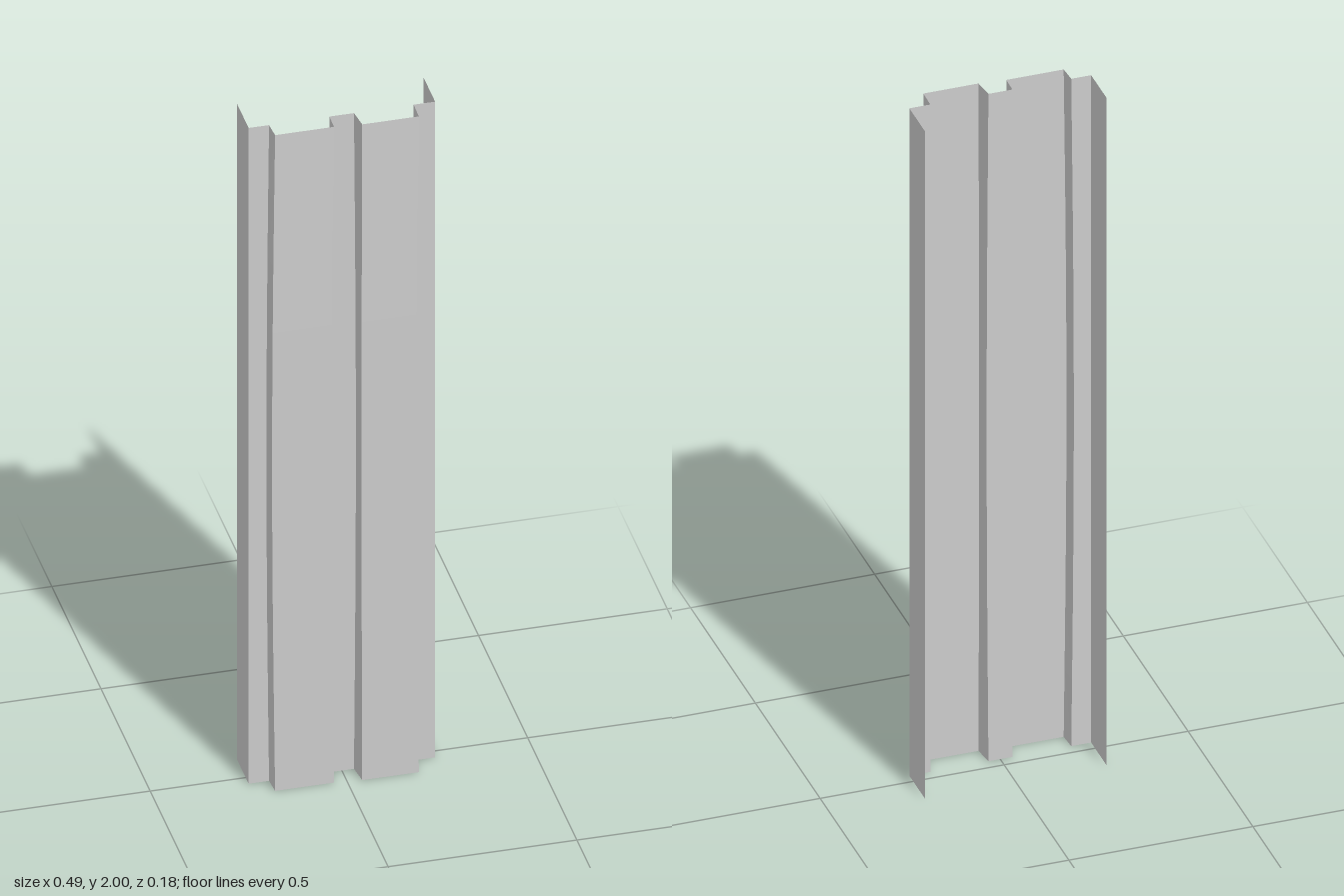
import * as THREE from 'three';

// Folded section from left flange to right flange: [x, z, bow in x, bow in z at mid height]
const section = [
  [-0.247, -0.09, 0, 0],
  [-0.247, 0.03, 0, 0],
  [-0.193, 0.03, -0.007, 0],
  [-0.190, 0.080, -0.009, 0.004],
  [-0.034, 0.080, -0.008, 0.004],
  [-0.033, 0.03, -0.007, 0],
  [0.032, 0.03, 0.005, 0],
  [0.039, 0.087, -0.003, 0.004],
  [0.189, 0.087, -0.008, 0.004],
  [0.190, 0.03, -0.006, 0],
  [0.247, 0.03, 0, 0],
  [0.247, -0.09, 0, 0],
];
const HEIGHT = 2;
const ROWS = 10;

// One flat strip between two neighbouring folds, bowing gently along its height
function strip(a, b) {
  const positions = [];
  const indices = [];
  for (let r = 0; r <= ROWS; r++) {
    const t = r / ROWS;
    const bow = Math.sin(Math.PI * t);
    for (const [x, z, bx, bz] of [a, b]) {
      positions.push(x + bx * bow, t * HEIGHT, z + bz * bow);
    }
    if (r < ROWS) {
      const i = r * 2;
      indices.push(i, i + 1, i + 3, i, i + 3, i + 2);
    }
  }
  const geometry = new THREE.BufferGeometry();
  geometry.setAttribute('position', new THREE.Float32BufferAttribute(positions, 3));
  geometry.setIndex(indices);
  geometry.computeVertexNormals();
  return geometry;
}

export function createModel() {
  const group = new THREE.Group();
  group.name = 'corrugatedPanel';
  const material = new THREE.MeshStandardMaterial({
    color: 0xcccccc, flatShading: true, side: THREE.DoubleSide,
  });
  const names = [
    'rightFlange', 'rightLedge', 'rightRibOuterWall', 'rightRibFace', 'rightRibInnerWall',
    'centreValley', 'leftRibInnerWall', 'leftRibFace', 'leftRibOuterWall', 'leftLedge', 'leftFlange',
  ];
  names.forEach((name, i) => {
    const mesh = new THREE.Mesh(strip(section[i], section[i + 1]), material);
    mesh.name = name;
    group.add(mesh);
  });
  return group;
}
